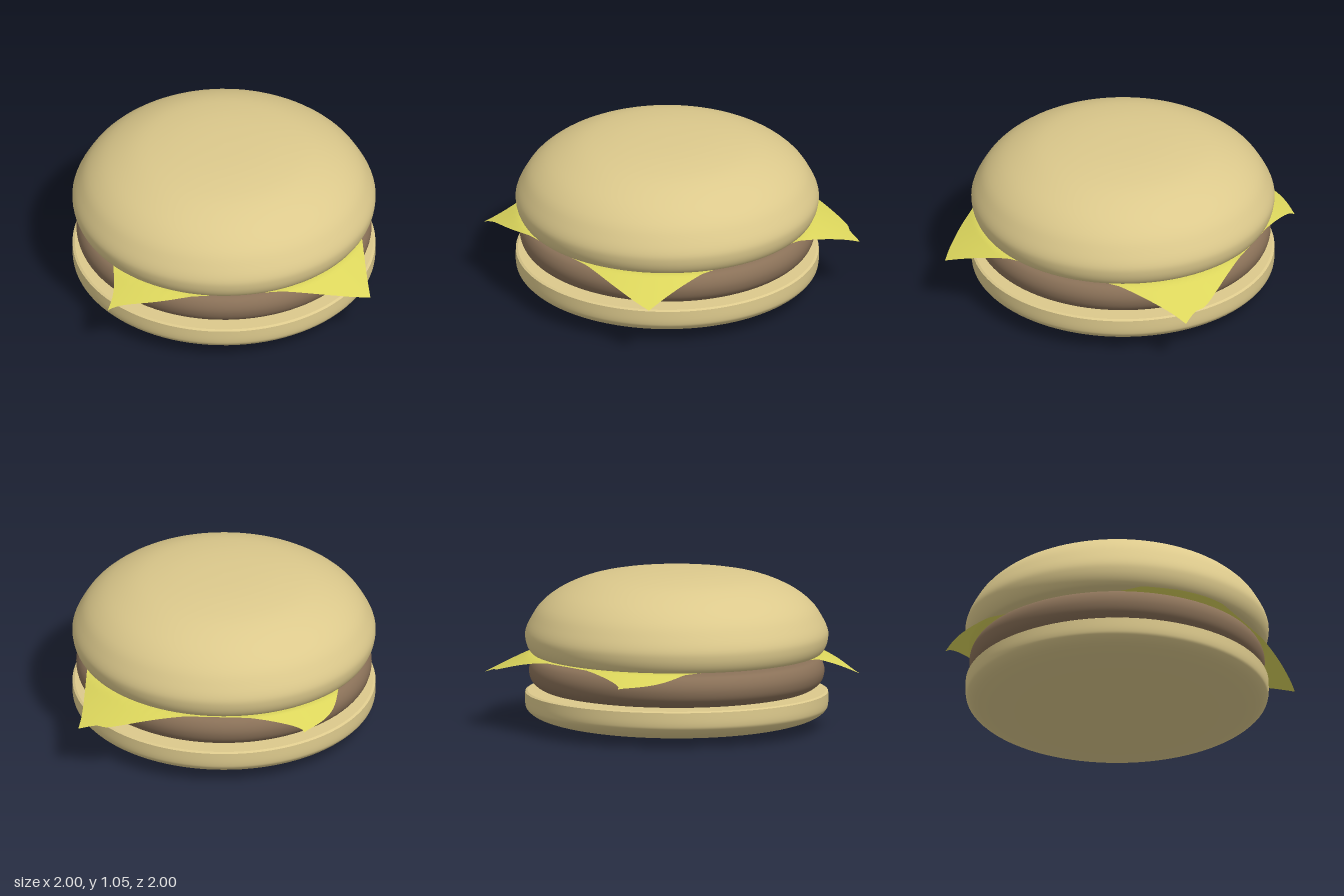
import * as THREE from 'three';
import { mergeGeometries } from 'three/addons/utils/BufferGeometryUtils.js';

const spline = (pts) => new THREE.SplineCurve(pts.map(([x, y]) => new THREE.Vector2(x, y)));

// Round part turned from one or more smooth profile sections; creases stay between sections
function turned(name, color, ...sections) {
  const parts = sections.map((pts) => {
    const profile = pts.length > 2 ? spline(pts).getPoints(40) : pts.map(([x, y]) => new THREE.Vector2(x, y));
    profile.forEach((p) => { p.x = Math.max(p.x, 0); });
    return new THREE.LatheGeometry(profile, 96);
  });
  const mesh = new THREE.Mesh(mergeGeometries(parts), new THREE.MeshStandardMaterial({ color }));
  mesh.name = name;
  return mesh;
}

// Square slice spanned between four edge curves (x, z), with drooping corners
function cheeseSlice() {
  const front = spline([[-0.85, 0.87], [-0.76, 0.865], [-0.4, 0.92], [0.4, 0.92], [0.72, 0.9], [0.89, 0.87]]);
  const back = spline([[-0.6, -0.97], [-0.5, -0.94], [0.1, -0.95], [0.65, -0.96], [0.78, -0.92], [0.9, -0.91]]);
  const left = spline([[-0.6, -0.97], [-0.78, -0.68], [-0.78, 0], [-0.79, 0.66], [-0.85, 0.87]]);
  const right = spline([[0.9, -0.91], [0.88, -0.7], [0.88, 0], [0.88, 0.6], [0.89, 0.87]]);
  const N = 60;
  const geo = new THREE.PlaneGeometry(1, 1, N, N);
  const pos = geo.attributes.position;
  for (let j = 0; j <= N; j++) {
    for (let i = 0; i <= N; i++) {
      const u = i / N, v = j / N;
      const b = back.getPointAt(u), f = front.getPointAt(u);
      const l = left.getPointAt(v), r = right.getPointAt(v);
      const b0 = back.getPointAt(0), b1 = back.getPointAt(1);
      const f0 = front.getPointAt(0), f1 = front.getPointAt(1);
      const blend = (k) => (1 - v) * b[k] + v * f[k] + (1 - u) * l[k] + u * r[k]
        - (1 - v) * ((1 - u) * b0[k] + u * b1[k]) - v * ((1 - u) * f0[k] + u * f1[k]);
      const x = blend('x'), z = blend('y');
      // The slice lies flat on the patty and falls away beyond its rim
      const over = Math.max(0, Math.hypot(x, z) - 0.97);
      pos.setXYZ(j * (N + 1) + i, x, 0.498 - 0.47 * over, z);
    }
  }
  geo.computeVertexNormals();
  const mesh = new THREE.Mesh(geo, new THREE.MeshStandardMaterial({ color: 0xdcd65c, side: THREE.DoubleSide }));
  mesh.name = 'cheeseSlice';
  return mesh;
}

export function createModel() {
  const model = new THREE.Group();
  model.name = 'burger';
  const bun = 0xdcc98c;

  // Bottom bun: shallow rounded base with a flat cut top
  model.add(turned('bottomBun', bun,
    [[0, 0.005], [0.4, 0.013], [0.65, 0.03], [0.82, 0.056], [0.93, 0.09], [0.985, 0.13], [1, 0.17], [1, 0.248]],
    [[1, 0.248], [0.985, 0.256]],
    [[0.985, 0.256], [0, 0.256]]));

  // Patty: thick disc with a round rim
  model.add(turned('patty', 0x8a7158,
    [[0, 0.257], [0.82, 0.257]],
    [[0.82, 0.257], [0.9, 0.276], [0.955, 0.32], [0.975, 0.38], [0.965, 0.435], [0.93, 0.474], [0.86, 0.487]],
    [[0.86, 0.487], [0, 0.492]]));

  model.add(cheeseSlice());

  // Top bun: flat underside and domed crown
  model.add(turned('topBun', bun,
    [[0, 0.503], [0.93, 0.503]],
    [[0.93, 0.503], [0.96, 0.513], [0.985, 0.55], [0.999, 0.6], [0.998, 0.655], [0.965, 0.73], [0.9, 0.826],
      [0.78, 0.92], [0.6, 0.998], [0.4, 1.036], [0.2, 1.052], [0, 1.056]]));

  return model;
}
